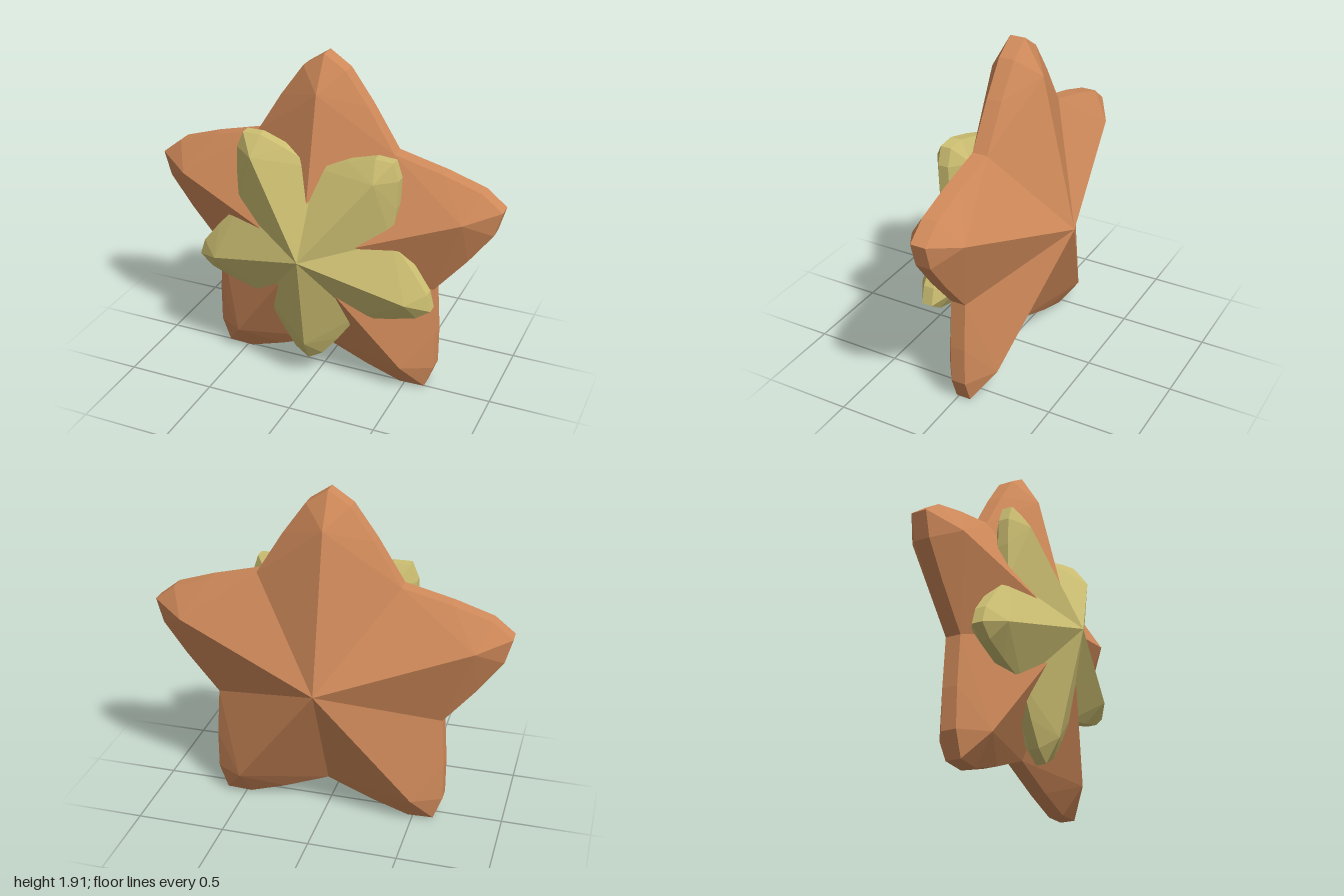
import * as THREE from 'three';

const CENTRE_Y = 0.86;
const HALF_BAND = 0.0425; // half thickness of the rim
const APEX = 0.3525;      // height of the central peak above the mid plane
const RIDGE = [0.86, 0, 0.152];
// half of one arm's rim, as (along, across) from tip to valley
const RIM = [[1.05, 0], [0.97, 0.12], [0.79, 0.25], [0.55, 0.4]];

// Faceted star, peaked on both faces, with a flat band round the rim
function starGeometry() {
  const pos = [];
  const tri = (a, b, c, flip) => pos.push(...a, ...(flip ? c : b), ...(flip ? b : c));

  for (let arm = 0; arm < 5; arm++) {
    const t = arm * Math.PI * 2 / 5;
    for (const side of [1, -1]) {
      const place = ([u, v], z) => [
        u * Math.sin(t) + side * v * Math.cos(t),
        u * Math.cos(t) - side * v * Math.sin(t),
        z,
      ];
      // front and back skins
      for (const face of [1, -1]) {
        const flip = side * face > 0;
        const rim = RIM.map(p => place(p, face * HALF_BAND));
        const apex = [0, 0, face * APEX];
        const ridge = place(RIDGE, face * RIDGE[2]);
        for (let i = 0; i < 3; i++) tri(ridge, rim[i + 1], rim[i], !flip);
        tri(apex, rim[3], ridge, !flip);
      }
      // rim band
      for (let i = 0; i < 3; i++) {
        const a = place(RIM[i], HALF_BAND), b = place(RIM[i + 1], HALF_BAND);
        const c = place(RIM[i + 1], -HALF_BAND), d = place(RIM[i], -HALF_BAND);
        tri(a, c, b, side < 0);
        tri(a, d, c, side < 0);
      }
    }
  }
  const geo = new THREE.BufferGeometry();
  geo.setAttribute('position', new THREE.Float32BufferAttribute(pos, 3));
  fixWinding(geo);
  geo.computeVertexNormals();
  return geo;
}

// Every facet of the star faces away from its centre
function fixWinding(geo) {
  const p = geo.attributes.position;
  const [a, b, c] = [0, 1, 2].map(() => new THREE.Vector3());
  for (let i = 0; i < p.count; i += 3) {
    a.fromBufferAttribute(p, i);
    b.fromBufferAttribute(p, i + 1);
    c.fromBufferAttribute(p, i + 2);
    const normal = b.clone().sub(a).cross(c.clone().sub(a));
    if (normal.dot(a) < 0) {
      p.setXYZ(i + 1, c.x, c.y, c.z);
      p.setXYZ(i + 2, b.x, b.y, b.z);
    }
  }
}

export function createModel() {
  const orange = new THREE.MeshStandardMaterial({ color: 0xd08a5a, flatShading: true });
  orange.name = 'terracotta';
  const yellow = new THREE.MeshStandardMaterial({ color: 0xcdbf72, flatShading: true });
  yellow.name = 'paleYellow';

  const geo = starGeometry();
  const group = new THREE.Group();

  // large body
  const body = new THREE.Mesh(geo, orange);
  body.name = 'starBody';
  body.position.set(0, CENTRE_Y, -0.0325);
  group.add(body);

  // smaller star set into the front, upside down and slightly turned
  const flower = new THREE.Mesh(geo, yellow);
  flower.name = 'frontFlower';
  flower.position.set(0, CENTRE_Y, 0.1375);
  flower.rotation.z = Math.PI - THREE.MathUtils.degToRad(2.3);
  flower.scale.setScalar(0.695);
  group.add(flower);

  return group;
}
